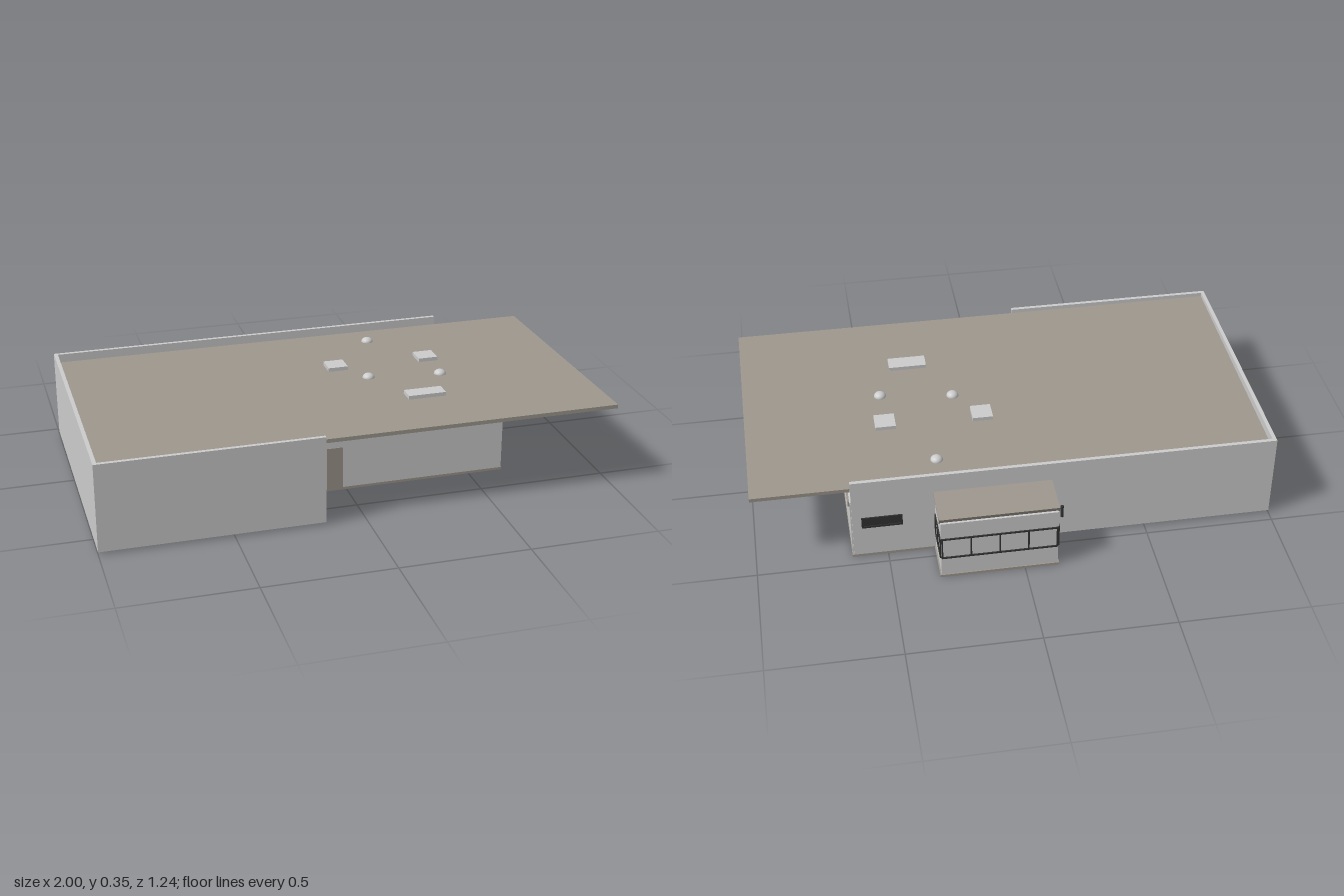
import * as THREE from 'three';

export function createModel() {
  const model = new THREE.Group();
  const mat = (name, color) => {
    const m = new THREE.MeshStandardMaterial({ color });
    m.name = name;
    return m;
  };
  const wall = mat('light grey wall', 0xcccccc);
  const tan = mat('tan grey', 0x9e978e);
  const dark = mat('dark frame', 0x333333);

  // Box given by its min and max corners
  const box = (name, material, x0, x1, y0, y1, z0, z1, parent = model) => {
    const mesh = new THREE.Mesh(new THREE.BoxGeometry(x1 - x0, y1 - y0, z1 - z0), material);
    mesh.position.set((x0 + x1) / 2, (y0 + y1) / 2, (z0 + z1) / 2);
    mesh.name = name;
    parent.add(mesh);
    return mesh;
  };

  // Open-bottomed large hall: lower walls and an upper parapet band
  const T = 0.015;
  for (const [label, y0, y1] of [['lower', 0.01, 0.255], ['upper', 0.255, 0.355]]) {
    box(label + 'WestWall', wall, -1, -1 + T, y0, y1, -0.455, 0.62);
    box(label + 'FrontWall', wall, -1 + T, -0.155, y0, y1, 0.62 - T, 0.62);
    box(label + 'BackWall', wall, -1 + T, 0.63, y0, y1, -0.455, -0.455 + T);
  }
  box('hallSideWall', wall, -0.17, -0.155, 0.01, 0.255, -0.44, 0.605);
  box('hallPartition', wall, -0.65, -0.64, 0.01, 0.31, -0.25, 0.18);

  // Lower room beside the hall
  box('roomFloor', tan, -0.16, 0.637, 0, 0.01, -0.455, 0.36);
  box('roomFrontWall', wall, -0.155, 0.635, 0.01, 0.255, 0.345, 0.36);
  box('roomEastWall', wall, 0.62, 0.635, 0.01, 0.255, -0.44, 0.345);
  box('roomCeiling', wall, -0.155, 0.62, 0.245, 0.255, -0.44, 0.345);
  box('ceilingUnit', wall, -0.14, -0.025, 0.255, 0.305, -0.215, -0.19);
  box('skylightShaft', wall, 0.25, 0.41, 0.255, 0.285, 0.27, 0.345);
  box('frontDoor', tan, -0.08, -0.015, 0.01, 0.18, 0.36, 0.362);
  box('sideDoor', wall, 0.635, 0.639, 0.01, 0.183, 0.263, 0.34);
  box('ventPlate', tan, 0.635, 0.641, 0.233, 0.255, -0.435, -0.35);

  // Rear annex
  box('annexFloor', tan, -0.13, 0.322, 0, 0.01, -0.622, -0.455);
  box('annexWalls', wall, -0.125, 0.317, 0.01, 0.255, -0.618, -0.455);
  const annexRoof = box('annexRoof', tan, -0.13, 0.322, 0.261, 0.274, -0.597, -0.455);
  annexRoof.rotation.x = -0.06;

  // Triangular gutter and its downpipe
  const gutterShape = new THREE.Shape([[-0.012, 0.275], [0, 0.25], [0.012, 0.275]].map(p => new THREE.Vector2(...p)));
  const gutter = new THREE.Mesh(
    new THREE.ExtrudeGeometry(gutterShape, { depth: 0.452, bevelEnabled: false }), tan);
  gutter.rotation.y = Math.PI / 2;
  gutter.position.set(-0.13, 0, -0.606);
  gutter.name = 'gutter';
  model.add(gutter);
  const pipe = new THREE.Mesh(new THREE.CylinderGeometry(0.006, 0.006, 0.05, 12), dark);
  pipe.position.set(-0.138, 0.25, -0.608);
  pipe.name = 'gutterSpout';
  model.add(pipe);

  // Window frame in the xy plane, facing +z, with equal panes
  const windowFrame = (name, width, y0, y1, panes, t, glass) => {
    const g = new THREE.Group();
    g.name = name;
    const h = width / 2;
    if (glass) box('glass', glass, -h, h, y0, y1, 0, 0.002, g);
    box('sill', dark, -h, h, y0, y0 + t, 0, 0.005, g);
    box('head', dark, -h, h, y1 - t, y1, 0, 0.005, g);
    for (let i = 0; i <= panes; i++) {
      const x = -h + t / 2 + (i * (width - t)) / panes;
      box('mullion', dark, x - t / 2, x + t / 2, y0 + t, y1 - t, 0, 0.005, g);
    }
    model.add(g);
    return g;
  };
  for (const s of [-1, 1]) {
    const side = windowFrame(s > 0 ? 'annexEastWindow' : 'annexWestWindow', 0.145, 0.09, 0.185, 2, 0.008);
    side.rotation.y = (s * Math.PI) / 2;
    side.position.set(s > 0 ? 0.317 : -0.125, 0, -0.543);
  }
  const back = windowFrame('annexBackWindow', 0.44, 0.09, 0.185, 4, 0.006);
  back.rotation.y = Math.PI;
  back.position.set(0.096, 0, -0.618);
  const small = windowFrame('smallBackWindow', 0.155, 0.14, 0.188, 2, 0.008, dark);
  small.rotation.y = Math.PI;
  small.position.set(0.518, 0, -0.455);

  // Large sloping roof, with a grey underside and everything standing on it
  const roof = new THREE.Group();
  roof.name = 'roof';
  roof.position.set(0.0075, 0.3225, 0.0825);
  roof.rotation.x = -0.0175;
  model.add(roof);
  const H = 0.0075;
  box('roofSlab', [tan, tan, tan, wall, tan, tan], -0.9925, 0.9925, -H, H, -0.5225, 0.5225, roof);
  for (const [x, z, w, d] of [[0.08, -0.07, 0.08, 0.08], [0.46, -0.07, 0.08, 0.08], [0.33, 0.303, 0.15, 0.065]]) {
    const cx = x - 0.0075, cz = z - 0.0825;
    box('skylight', wall, cx - w / 2, cx + w / 2, H, H + 0.015, cz - d / 2, cz + d / 2, roof);
  }
  for (const [x, z] of [[0.29, -0.32], [0.175, 0.07], [0.46, 0.11]]) {
    const dome = new THREE.Mesh(
      new THREE.SphereGeometry(0.024, 20, 8, 0, Math.PI * 2, 0, Math.PI / 2), wall);
    dome.scale.y = 0.75;
    dome.position.set(x - 0.0075, H, z - 0.0825);
    dome.name = 'roofDome';
    roof.add(dome);
  }
  return model;
}
